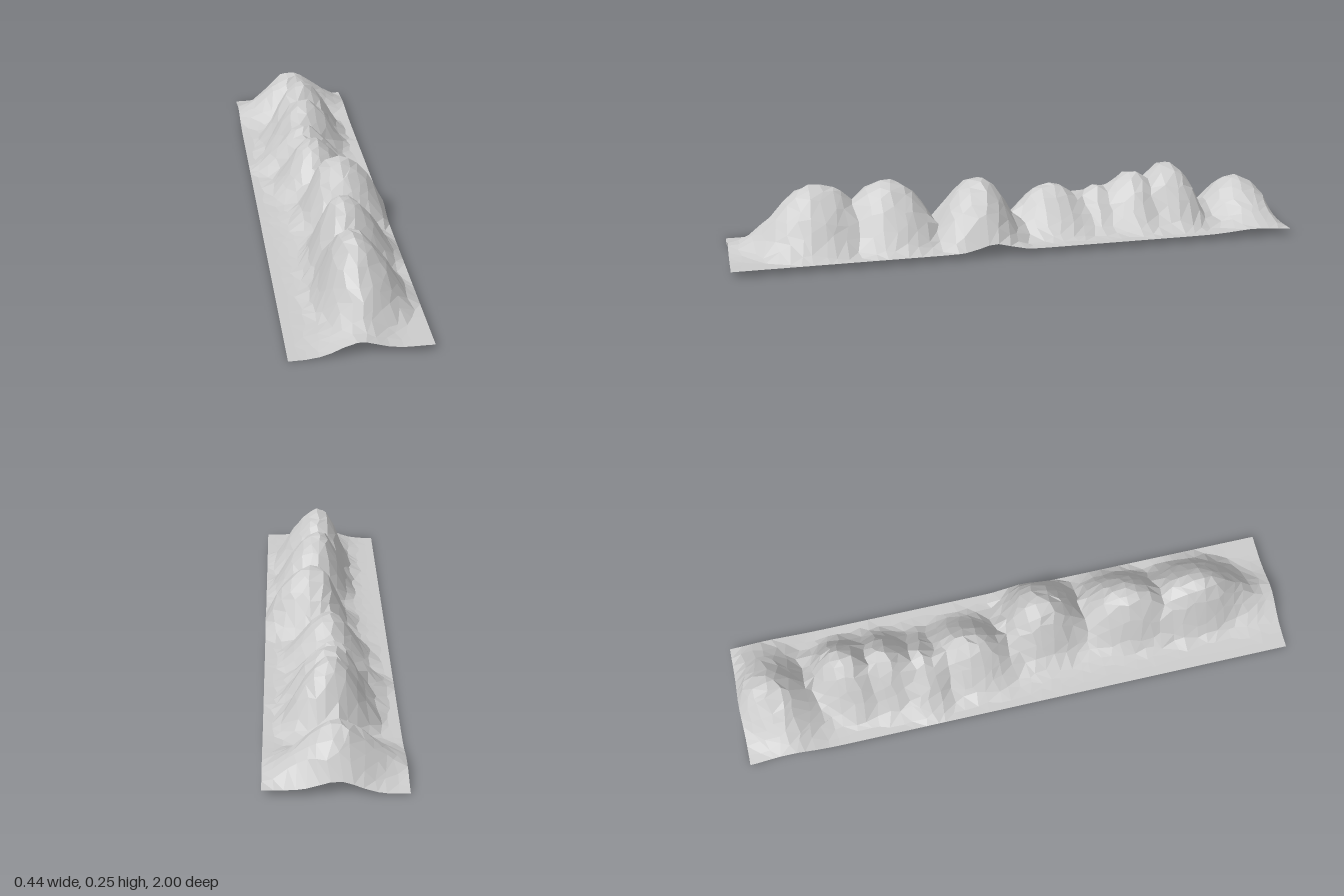
import * as THREE from 'three';

// Rounded lumps along the ridge: centre x, centre z, height, reach to -x, reach to +x, reach along z, skew
const LUMPS = [
  [0.02, 0.69, 0.252, 0.125, 0.165, 0.21, 0.05],
  [0.03, 0.45, 0.252, 0.13, 0.165, 0.195, -0.20],
  [0.06, 0.14, 0.248, 0.14, 0.165, 0.17, 0.05],
  [0.00, -0.15, 0.194, 0.14, 0.150, 0.16, -0.15],
  [-0.02, -0.33, 0.174, 0.16, 0.150, 0.11, 0.00],
  [0.01, -0.46, 0.224, 0.16, 0.150, 0.13, -0.10],
  [0.015, -0.59, 0.249, 0.165, 0.150, 0.135, -0.20],
  [0.00, -0.87, 0.180, 0.18, 0.180, 0.135, -0.20],
];
const HALF_W = 0.222;
const COLS = 13;
const ROWS = 50;

function seeded(seed) {
  return () => {
    seed = (seed * 16807) % 2147483647;
    return seed / 2147483647;
  };
}

const bell = (v, centre, width) => Math.exp(-(((v - centre) / width) ** 2));

// Gentle ground strip: low on the -x edge, higher on the +x edge, swelling beside the lumps
function ground(x, z) {
  const t = (x + HALF_W) / (2 * HALF_W);
  const s = t * t * (3 - 2 * t);
  const swellLeft = 0.028 * bell(z, -0.86, 0.1);
  const swellRight = 0.027 * bell(z, 0.1, 0.07) + 0.01 * bell(z, -0.86, 0.1);
  const crown = (0.037 + 0.03 * bell(z, 0.9, 0.055)) * bell(x, -0.01, 0.08);
  return 0.002 + swellLeft * (1 - s) + (0.022 + swellRight) * s + crown;
}

// The tallest lump wins, so neighbours meet in sharp creases; a fillet softens the foot
function height(x, z) {
  const g = ground(x, z);
  let lump = -1;
  for (const [cx, cz, h, rl, rr, rz, skew] of LUMPS) {
    const dx = x - cx;
    const u = Math.abs(dx) / (dx < 0 ? rl : rr);
    const v = Math.abs(z - cz - skew * dx) / rz;
    const d = Math.pow(u ** 2.2 + v ** 2.2, 1 / 2.2);
    lump = Math.max(lump, g + (h - ground(cx, cz)) * (1 - d ** 2));
  }
  const k = 0.09;
  const blend = Math.max(0, k - Math.abs(lump - g));
  return Math.max(lump, g) + (blend * blend) / (4 * k);
}

// Irregular faceted sheet, open underneath
function ridgeGeometry() {
  const rand = seeded(4711);
  const points = [];
  for (let i = 0; i <= ROWS; i++) {
    for (let j = 0; j <= COLS; j++) {
      const edgeX = j === 0 || j === COLS;
      const edgeZ = i === 0 || i === ROWS;
      let x = -HALF_W + (2 * HALF_W * j) / COLS;
      let z = -1 + (2 * i) / ROWS;
      const jx = (rand() - 0.5) * 0.022;
      const jz = (rand() - 0.5) * 0.024;
      const jy = rand() - 0.5;
      if (!edgeX) x += jx;
      if (!edgeZ) z += jz;
      const g = ground(x, z);
      let y = edgeX || edgeZ ? g : height(x, z);
      y += jy * 0.05 * (y - g);
      points.push(new THREE.Vector3(x, THREE.MathUtils.clamp(y, 0, 0.25), z));
    }
  }
  // Split each cell along its flatter diagonal
  const n = COLS + 1;
  const index = [];
  for (let i = 0; i < ROWS; i++) {
    for (let j = 0; j < COLS; j++) {
      const a = i * n + j;
      const b = a + n;
      const rising = Math.abs(points[a].y - points[b + 1].y);
      const falling = Math.abs(points[b].y - points[a + 1].y);
      if (falling < rising) index.push(a, b, a + 1, a + 1, b, b + 1);
      else index.push(a, b, b + 1, a, b + 1, a + 1);
    }
  }
  const geo = new THREE.BufferGeometry().setFromPoints(points);
  geo.setIndex(index);
  const flat = geo.toNonIndexed();
  flat.computeVertexNormals();
  return flat;
}

export function createModel() {
  const group = new THREE.Group();
  group.name = 'rockRidge';
  const material = new THREE.MeshStandardMaterial({
    color: 0xcccccc,
    flatShading: true,
    side: THREE.DoubleSide,
  });
  const ridge = new THREE.Mesh(ridgeGeometry(), material);
  ridge.name = 'ridgeSurface';
  group.add(ridge);
  return group;
}
